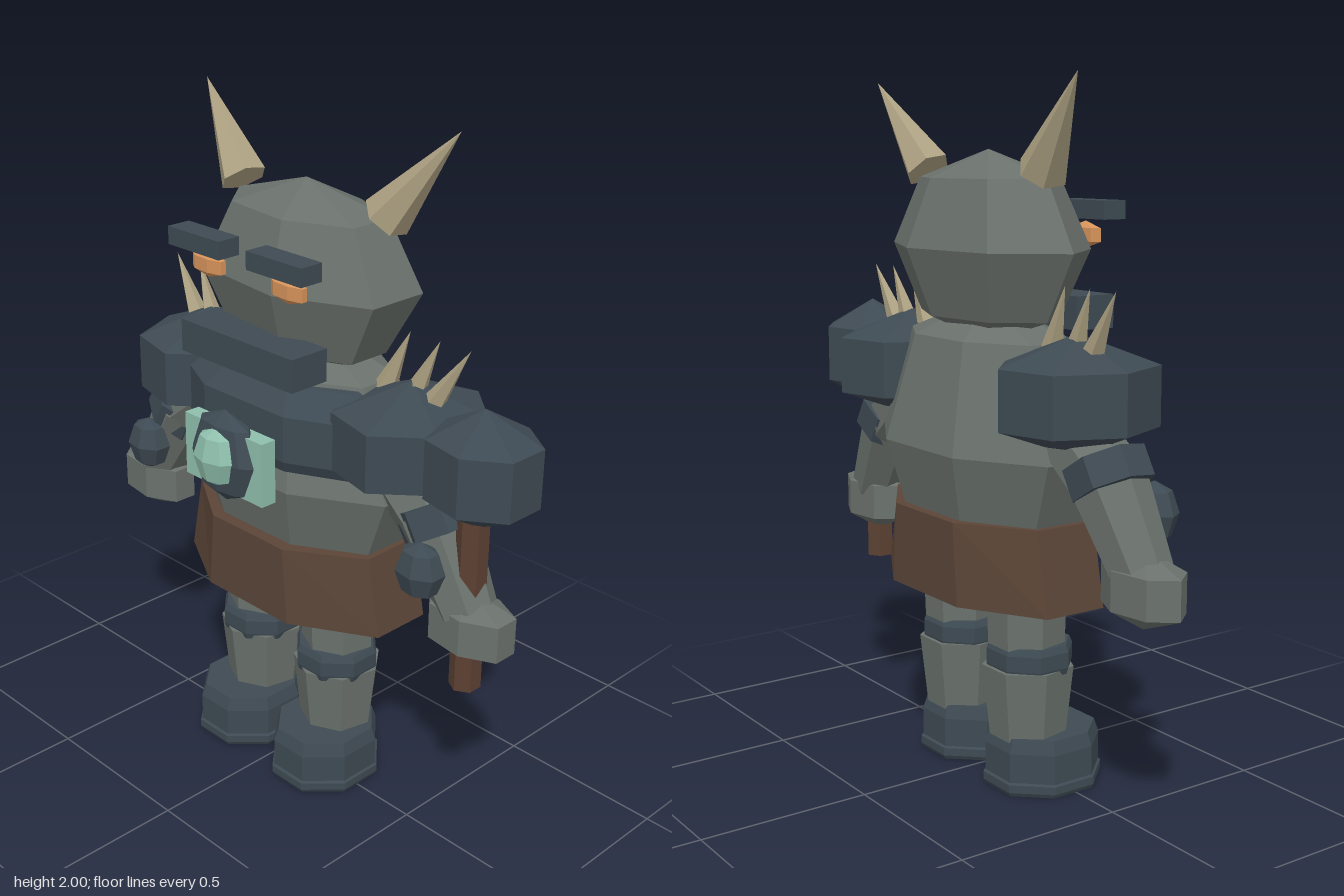
import * as THREE from 'three';

const paint = (name, color) => {
  const m = new THREE.MeshStandardMaterial({ color });
  m.name = name;
  return m;
};

export function createModel() {
  const stone = paint('stone grey', 0x6a716c);
  const slate = paint('slate armour', 0x3e4a53);
  const leather = paint('brown leather', 0x5b4537);
  const wood = paint('dark wood', 0x5c4032);
  const bone = paint('bone', 0xada182);
  const amber = paint('amber', 0xd6935a);
  const jade = paint('jade', 0x8fbfac);

  const model = new THREE.Group();
  model.name = 'hornedGolem';
  const body = new THREE.Group();
  body.name = 'body';
  body.position.x = -0.02;
  model.add(body);

  // Adds a faceted mesh to the body
  const add = (name, geometry, material, x = 0, y = 0, z = 0) => {
    const g = geometry.index ? geometry.toNonIndexed() : geometry;
    g.computeVertexNormals();
    const mesh = new THREE.Mesh(g, material);
    mesh.name = name;
    mesh.position.set(x, y, z);
    body.add(mesh);
    return mesh;
  };

  // Faceted ball with its own radius on each axis
  const ball = (rx, ry, rz, rows, sides = 7) =>
    new THREE.SphereGeometry(1, sides, rows).scale(rx, ry, rz);

  // Octagonal turned form with flat front and sides; profile is [radius, y] going up
  const octagon = (profile, sx, sz) =>
    new THREE.LatheGeometry(profile.map(([r, y]) => new THREE.Vector2(r, y)), 8, Math.PI / 8)
      .scale(sx, 1, sz);

  // Tapered rod or cone between two points
  const rod = (name, material, from, to, r0, r1, sides) => {
    const a = new THREE.Vector3(...from), b = new THREE.Vector3(...to);
    const dir = b.clone().sub(a);
    const mesh = add(name, new THREE.CylinderGeometry(r1, r0, dir.length(), sides), material);
    mesh.position.copy(a).add(b).multiplyScalar(0.5);
    mesh.quaternion.setFromUnitVectors(new THREE.Vector3(0, 1, 0), dir.normalize());
    return mesh;
  };

  // Head, brows, eyes and jaw
  add('head', ball(0.39, 0.27, 0.222, 4), stone, 0, 1.535, -0.08);
  add('jaw', new THREE.BoxGeometry(0.45, 0.095, 0.13), slate, 0, 1.357, 0.125);

  // Torso, collar and skirt
  add('torso', octagon([[0, 0.55], [0.7, 0.68], [1, 0.985], [0.707, 1.29], [0, 1.40]], 0.45, 0.26),
    stone, 0, 0, -0.08);
  add('chestArmour', octagon([[0, 1.04], [0.93, 1.045], [1, 1.08], [1, 1.215], [0.72, 1.28], [0, 1.285]], 0.43, 0.21),
    slate, 0, 0, -0.03);
  const skirt = octagon([[0, 0.565], [1, 0.565], [0.885, 0.80], [0, 0.80]], 0.438, 0.249);
  const sp = skirt.attributes.position;
  for (let i = 0; i < sp.count; i++) {
    // keep the front and back upright while the sides flare
    if (sp.getY(i) > 0.7) sp.setZ(i, sp.getZ(i) / 0.885);
  }
  add('skirt', skirt, leather, 0, 0, -0.075);

  // Chest medallion
  add('medallionPlate', new THREE.BoxGeometry(0.32, 0.19, 0.05), jade, 0, 1.06, 0.215);
  add('medallionBoss', ball(0.138, 0.138, 0.055, 4, 8), slate, 0, 1.07, 0.23);
  add('medallionGem', ball(0.08, 0.09, 0.055, 4, 8), jade, 0, 1.075, 0.262);

  for (const s of [-1, 1]) {
    const side = s > 0 ? 'left' : 'right';

    // Face details and horns
    add(side + 'Brow', new THREE.BoxGeometry(0.21, 0.052, 0.075), slate, s * 0.16, 1.64, 0.158);
    add(side + 'Eye', ball(0.078, 0.038, 0.024, 3), amber, s * 0.16, 1.57, 0.14);
    rod(side + 'Horn', bone, [s * 0.28, 1.745, -0.1], [s * 0.485, 1.998, -0.145], 0.07, 0, 6);

    // Shoulder armour with spikes
    add(side + 'Pauldron', ball(0.238, 0.165, 0.265, 3), slate, s * 0.41, 1.165, -0.08);
    for (const [base, tip] of [[0.475, 0.59], [0.405, 0.485], [0.305, 0.38]]) {
      rod(side + 'ShoulderSpike', bone, [s * base, 1.27, -0.085], [s * tip, 1.455, -0.1], 0.035, 0, 5);
    }

    // Arm, elbow guard and fist
    rod(side + 'UpperArm', stone, [s * 0.34, 1.1, -0.08], [s * 0.53, 0.95, -0.07], 0.1, 0.105, 7);
    rod(side + 'ArmBand', slate, [s * 0.51, 1.01, -0.07], [s * 0.555, 0.935, -0.07], 0.115, 0.115, 7);
    rod(side + 'Forearm', stone, [s * 0.51, 0.98, -0.07], [s * 0.66, 0.73, -0.06], 0.11, 0.085, 7);
    add(side + 'ElbowGuard', ball(0.077, 0.085, 0.06, 4), slate, s * 0.575, 0.865, 0.05);
    add(side + 'Fist', ball(0.165, 0.108, 0.1, 3), stone, s * 0.667, 0.695, -0.06);

    // Leg, knee band and boot
    const x = s * 0.165;
    add(side + 'Thigh', new THREE.CylinderGeometry(0.12, 0.11, 0.3, 7), stone, x, 0.53, -0.065);
    add(side + 'KneeBand', octagon([[0, 0.345], [0.95, 0.345], [1, 0.365], [1, 0.41], [0.93, 0.43], [0, 0.43]], 0.13, 0.125),
      slate, x, 0, -0.055);
    add(side + 'Shin', new THREE.CylinderGeometry(0.134, 0.108, 0.24, 7), stone, x, 0.24, -0.06);
    add(side + 'Boot', octagon([[0, 0], [0.96, 0], [1, 0.012], [1, 0.035], [0.96, 0.04], [0.96, 0.125], [0.88, 0.165], [0, 0.165]], 0.166, 0.179),
      slate, x + s * 0.003, 0, -0.01);
  }

  // Maul held upright in the left fist
  add('maulHandle', new THREE.CylinderGeometry(0.045, 0.045, 0.65, 6), wood, 0.665, 0.825, -0.055);
  add('maulHead', ball(0.19, 0.17, 0.168, 3), slate, 0.68, 1.165, -0.06);

  return model;
}
